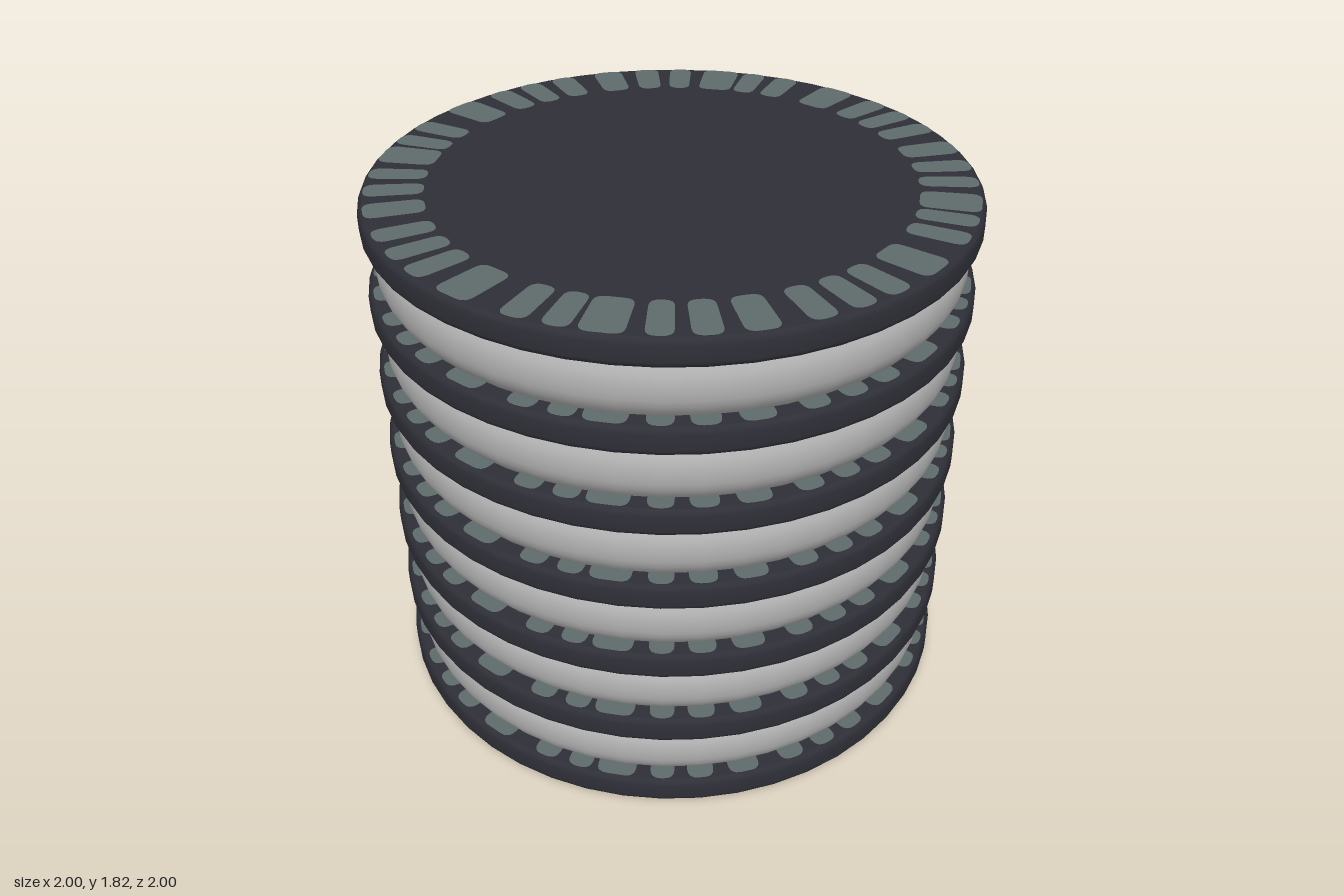
import * as THREE from 'three';

const DISC_H = 0.095;     // thickness of a dark disc
const STEP = 0.2875;      // distance from disc to disc
const DISCS = 7;
const SEGMENTS = 48;

// Angle (degrees, clockwise from the back) and width of the inlays in one quarter
const INLAYS = [
  [1.7, 0.13], [9.3, 0.083], [16.8, 0.088], [29.3, 0.13], [39.8, 0.09],
  [47.4, 0.085], [55.3, 0.088], [65.8, 0.105], [74.7, 0.088], [82.4, 0.08],
];

const material = (name, color) => {
  const m = new THREE.MeshStandardMaterial({ color });
  m.name = name;
  return m;
};

function add(parent, name, geometry, mat, y = 0) {
  const mesh = new THREE.Mesh(geometry, mat);
  mesh.name = name;
  mesh.position.y = y;
  parent.add(mesh);
  return mesh;
}

// Rounded, slightly tapered inlay pointing outwards at the given angle
function inlayShape(degrees, width) {
  const a = THREE.MathUtils.degToRad(degrees);
  const c = Math.cos(a), s = Math.sin(a);
  const p = (u, v) => [u * c + v * s, -u * s + v * c];
  const o = width / 2, i = o * 0.92, r = 0.035, v0 = 0.79, v1 = 0.983;
  const shape = new THREE.Shape();
  shape.moveTo(...p(-i + r, v0));
  shape.lineTo(...p(i - r, v0));
  shape.quadraticCurveTo(...p(i, v0), ...p(i, v0 + r));
  shape.lineTo(...p(o, v1 - r));
  shape.quadraticCurveTo(...p(o, v1), ...p(o - r, v1));
  shape.lineTo(...p(-o + r, v1));
  shape.quadraticCurveTo(...p(-o, v1), ...p(-o, v1 - r));
  shape.lineTo(...p(-i, v0 + r));
  shape.quadraticCurveTo(...p(-i, v0), ...p(-i + r, v0));
  return shape;
}

const lathe = (points) =>
  new THREE.LatheGeometry(points.map(([x, y]) => new THREE.Vector2(x, y)), SEGMENTS);

export function createModel() {
  const model = new THREE.Group();
  model.name = 'discStack';

  const dark = material('charcoal', 0x2f2f38);
  const grey = material('greyGreen', 0x5f6b6c);
  const silver = material('silver', 0xb2b2b2);

  // Shared geometries
  const rim = lathe([
    [0.985, 0], [0.994, 0.008], [1, 0.022], [1, DISC_H - 0.022],
    [0.994, DISC_H - 0.008], [0.985, DISC_H],
  ]);
  const face = new THREE.CircleGeometry(0.985, SEGMENTS).rotateX(-Math.PI / 2);
  const shapes = [];
  for (let q = 0; q < 4; q++) {
    for (const [deg, width] of INLAYS) shapes.push(inlayShape(deg + q * 90, width));
  }
  const inlays = new THREE.ShapeGeometry(shapes, 4).rotateX(-Math.PI / 2);
  const gap = STEP - DISC_H;
  const band = lathe([
    [0.93, 0], [0.947, 0.022], [0.96, 0.045], [0.967, 0.07], [0.968, gap / 2],
    [0.967, gap - 0.07], [0.96, gap - 0.045], [0.947, gap - 0.022], [0.93, gap],
  ]);

  for (let k = 0; k < DISCS; k++) {
    const disc = new THREE.Group();
    disc.name = 'disc';
    disc.position.y = k * STEP;
    model.add(disc);

    // Dark disc with inlays on both faces
    add(disc, 'rim', rim, dark);
    add(disc, 'topFace', face, dark, DISC_H);
    add(disc, 'bottomFace', face, dark).rotation.x = Math.PI;
    add(disc, 'topInlays', inlays, grey, DISC_H + 0.002);
    add(disc, 'bottomInlays', inlays, grey, -0.002).rotation.x = Math.PI;

    // Bulging band between this disc and the next
    if (k < DISCS - 1) add(disc, 'band', band, silver, DISC_H);
  }
  model.position.y = 0.002;
  return model;
}
